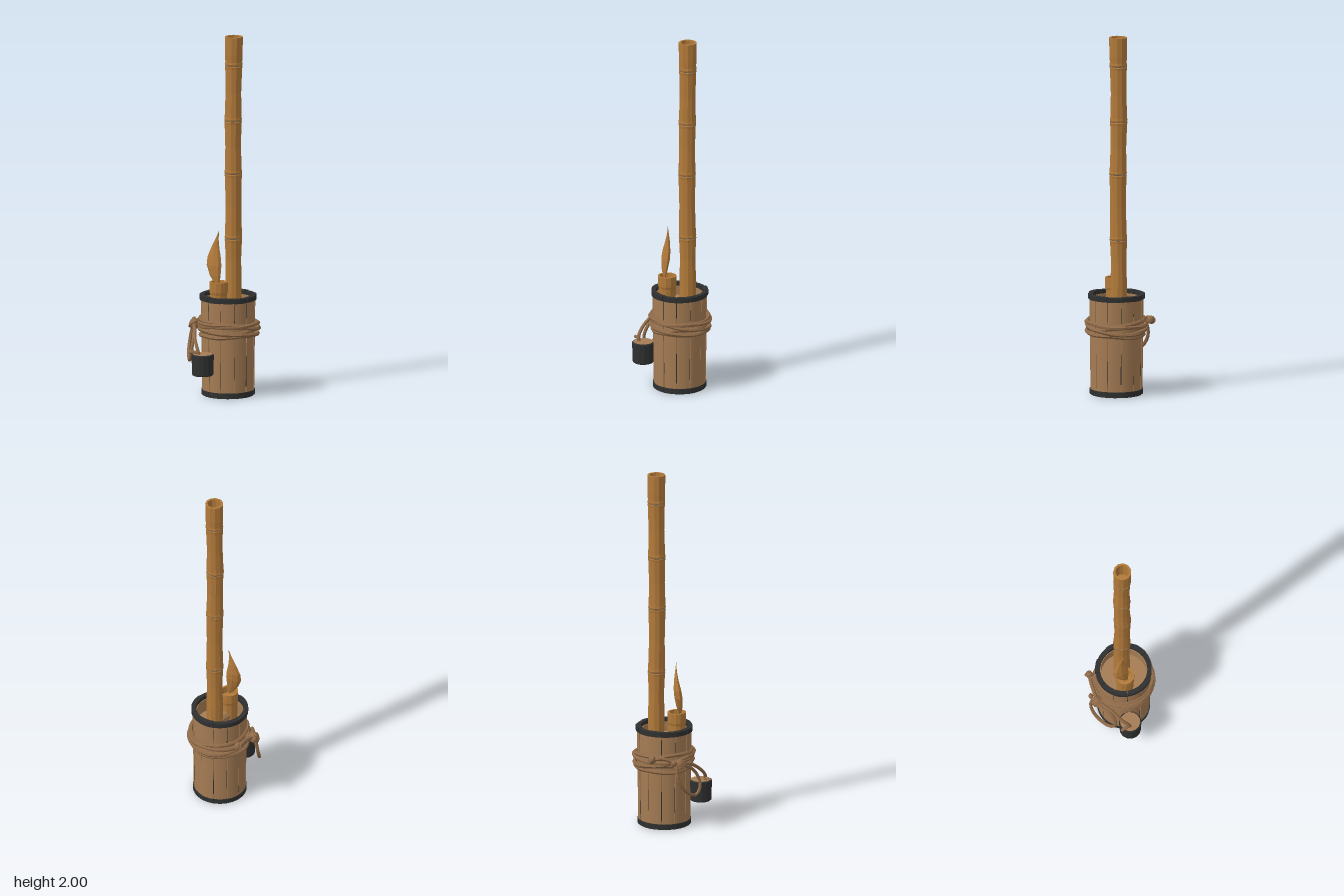
import * as THREE from 'three';

const mat = (name, color) =>
  Object.assign(new THREE.MeshStandardMaterial({ color, flatShading: true }), { name });
const wood = mat('stave wood', 0xa57c54);
const bamboo = mat('bamboo', 0xb27a3a);
const rope = mat('rope', 0x8f6a48);
const dark = mat('dark hoop', 0x2f3030);
const grey = mat('node groove', 0x77685a);

const CX = 0.015, CZ = -0.042; // axis of the barrel
const v = (x, y, z) => new THREE.Vector3(x, y, z);

function add(parent, name, geometry, material, x = 0, y = 0, z = 0) {
  const mesh = new THREE.Mesh(geometry, material);
  mesh.name = name;
  mesh.position.set(x, y, z);
  parent.add(mesh);
  return mesh;
}

// Ring of separate curved blocks, widened towards the top by "flare"
function blockRing(name, n, rIn, rOut, y0, y1, material, gap, flare, jitter) {
  const ring = new THREE.Group();
  ring.name = name;
  for (let i = 0; i < n; i++) {
    const wobble = jitter * Math.sin(i * 2.7);
    const a0 = (i / n) * Math.PI * 2 + gap, a1 = ((i + 1) / n) * Math.PI * 2 - gap;
    const s = new THREE.Shape();
    s.absarc(0, 0, rOut + wobble, a0, a1, false);
    s.absarc(0, 0, rIn, a1, a0, true);
    s.closePath();
    const h = y1 - y0;
    const g = new THREE.ExtrudeGeometry(s, { depth: h, bevelEnabled: false, curveSegments: 3 });
    g.rotateX(-Math.PI / 2);
    const p = g.attributes.position;
    for (let k = 0; k < p.count; k++) {
      const f = 1 + flare * (p.getY(k) / h);
      p.setXYZ(k, p.getX(k) * f, p.getY(k), p.getZ(k) * f);
    }
    g.computeVertexNormals();
    add(ring, name + 'Block', g, material, CX, y0 + wobble * 0.6, CZ);
  }
  return ring;
}

const lathe = (pts, n) => new THREE.LatheGeometry(pts.map(([r, y]) => new THREE.Vector2(r, y)), n);

function cord(parent, name, points, radius, closed = false) {
  const curve = new THREE.CatmullRomCurve3(points, closed);
  return add(parent, name, new THREE.TubeGeometry(curve, closed ? 40 : 20, radius, 6, closed), rope);
}

export function createModel() {
  const model = new THREE.Group();
  model.name = 'bambooTorchBarrel';

  // Barrel: staves, lining, floor and hoops
  model.add(blockRing('stave', 12, 0.127, 0.143, 0.02, 0.545, wood, 0.012, 0.045, 0.0015));
  const lining = lathe([[0.135, 0.02], [0.141, 0.54], [0.127, 0.54], [0.127, 0.46], [0, 0.46]], 24);
  add(model, 'liningAndFloor', lining, wood, CX, 0, CZ);
  model.add(blockRing('topHoop', 12, 0.13, 0.156, 0.535, 0.562, dark, 0.008, 0, 0.002));
  model.add(blockRing('bottomHoop', 12, 0.125, 0.147, 0.005, 0.032, dark, 0.004, 0, 0.001));
  add(model, 'barrelBottom', new THREE.CylinderGeometry(0.142, 0.142, 0.02, 24), dark, CX, 0.01, CZ);

  // Dark seams between staves, broken into short slits
  for (let i = 0; i < 12; i++) {
    const a = (i / 12) * Math.PI * 2;
    [[0.15, 0.17], [0.47, 0.11]].forEach(([y, len], k) => {
      const r = 0.1385 + 0.006 * (y / 0.545);
      const seam = add(model, 'seam', new THREE.BoxGeometry(0.004, len - 0.05 * ((i + k) % 3) / 2, 0.006), dark,
        CX + Math.cos(a) * r, y + 0.02 * Math.sin(i * 3 + k), CZ - Math.sin(a) * r);
      seam.rotation.y = a + Math.PI / 2;
    });
  }

  // Tall bamboo pole with narrow nodes and an open top
  const nodes = [0.87, 1.235, 1.53, 1.84];
  const profile = [[0.046, 0.46], [0.046, 0.6], [0.043, 0.75]];
  nodes.forEach((y, i) => {
    profile.push([0.047, y - 0.02], [0.049, y - 0.007], [0.046, y], [0.049, y + 0.007], [0.047, y + 0.02]);
    if (i < 3) profile.push([0.0435, (y + nodes[i + 1]) / 2]);
  });
  profile.push([0.049, 1.9], [0.05, 2], [0.038, 2], [0.037, 1.86], [0, 1.86]);
  const pole = lathe(profile, 11);
  const pp = pole.attributes.position;
  for (let k = 0; k < pp.count; k++) {
    const y = pp.getY(k);
    pp.setX(k, pp.getX(k) + 0.002 * Math.sin(y * 7));
    pp.setZ(k, pp.getZ(k) + 0.002 * Math.cos(y * 5));
  }
  add(model, 'bambooPole', pole, bamboo, 0.012, 0, -0.085);
  nodes.forEach((y) => {
    const ring = add(model, 'nodeRing', new THREE.TorusGeometry(0.0465, 0.002, 5, 22), grey,
      0.012 + 0.002 * Math.sin(y * 7), y, -0.085 + 0.002 * Math.cos(y * 5));
    ring.rotation.x = Math.PI / 2;
  });

  // Short bamboo cup and the link between the two stalks
  const cup = [[0.047, 0.46], [0.048, 0.57], [0.052, 0.585], [0.052, 0.64], [0.041, 0.64], [0.038, 0.6], [0, 0.6]];
  add(model, 'bambooCup', lathe(cup, 12), bamboo, 0.012, 0, 0.027);
  const link = add(model, 'link', new THREE.CylinderGeometry(0.034, 0.034, 0.1, 10), wood, 0.008, 0.494, -0.03);
  link.rotation.x = Math.PI / 2;

  // Flame: flattened teardrop, bent along its height
  const flame = lathe([[0, 0], [0.012, 0.02], [0.033, 0.07], [0.045, 0.125], [0.041, 0.17],
    [0.024, 0.225], [0.009, 0.275], [0, 0.325]], 8);
  flame.scale(1, 1, 0.5);
  flame.rotateY(0.35);
  const fp = flame.attributes.position;
  for (let k = 0; k < fp.count; k++) {
    const t = fp.getY(k) / 0.325;
    fp.setX(k, fp.getX(k) + 0.018 * (1 - 2.6 * Math.sin(t * Math.PI * 0.85)) + 0.012 * t);
    fp.setZ(k, fp.getZ(k) + 0.012 * (1 - t * 1.4) + 0.004 * Math.sin(t * 6));
  }
  add(model, 'flame', flame, bamboo, 0.005, 0.605, 0.03);

  // Rope coils, each slightly tilted and uneven
  [[0.34, 0.155, 0.008], [0.36, 0.161, -0.012], [0.378, 0.158, 0.014], [0.396, 0.163, -0.01], [0.416, 0.156, 0.012],
    [0.385, 0.164, 0.03]].forEach(([y, r, tilt], i) => {
    const pts = [];
    for (let k = 0; k < 14; k++) {
      const a = (k / 14) * Math.PI * 2;
      const rr = r + 0.003 * Math.sin(3 * a + i * 2);
      pts.push(v(CX + 0.002 + Math.cos(a) * rr, y + tilt * Math.cos(a + i) + 0.003 * Math.sin(4 * a + i),
        CZ - 0.004 + Math.sin(a) * rr));
    }
    cord(model, 'ropeCoil', pts, 0.0105, true);
  });

  // Knots
  [[-0.17, 0.415, -0.09, 0.022], [-0.148, 0.385, 0.06, 0.03], [-0.178, 0.4, 0.032, 0.015]].forEach(([x, y, z, r], i) => {
    const knot = add(model, 'knot', new THREE.IcosahedronGeometry(r, 1), rope, x, y, z);
    knot.scale.set(0.9, 1.1, 1);
    const wrap = add(model, 'knotWrap', new THREE.TorusGeometry(r * 0.85, r * 0.35, 5, 10), rope, x, y, z);
    wrap.rotation.set(0.6 + i, 0.7 * i, 0.4);
  });
  cord(model, 'knotBridge', [v(-0.17, 0.415, -0.09), v(-0.166, 0.42, -0.03), v(-0.15, 0.39, 0.05)], 0.01);

  // Hanging loop and the cord that holds the plug
  cord(model, 'hangingLoop', [v(-0.165, 0.4, 0.045), v(-0.182, 0.31, 0.055), v(-0.155, 0.235, 0.095),
    v(-0.095, 0.2, 0.145), v(-0.062, 0.25, 0.165), v(-0.075, 0.33, 0.135), v(-0.135, 0.385, 0.075)], 0.0095);
  cord(model, 'plugCord', [v(-0.14, 0.39, 0.07), v(-0.08, 0.37, 0.12), v(-0.03, 0.325, 0.165),
    v(0.01, 0.28, 0.185), v(0.02, 0.245, 0.182)], 0.0095);
  cord(model, 'cordEnd', [v(0.02, 0.262, 0.182), v(-0.01, 0.267, 0.195), v(-0.035, 0.262, 0.208)], 0.009);

  // Hanging plug: dark sleeve with wooden ends
  const sleeve = lathe([[0.053, 0.135], [0.059, 0.14], [0.062, 0.25], [0.056, 0.255]], 14);
  add(model, 'plugSleeve', sleeve, dark, 0.022, 0, 0.158);
  add(model, 'plugCore', new THREE.CylinderGeometry(0.056, 0.053, 0.12, 14), wood, 0.022, 0.195, 0.158);

  return model;
}
